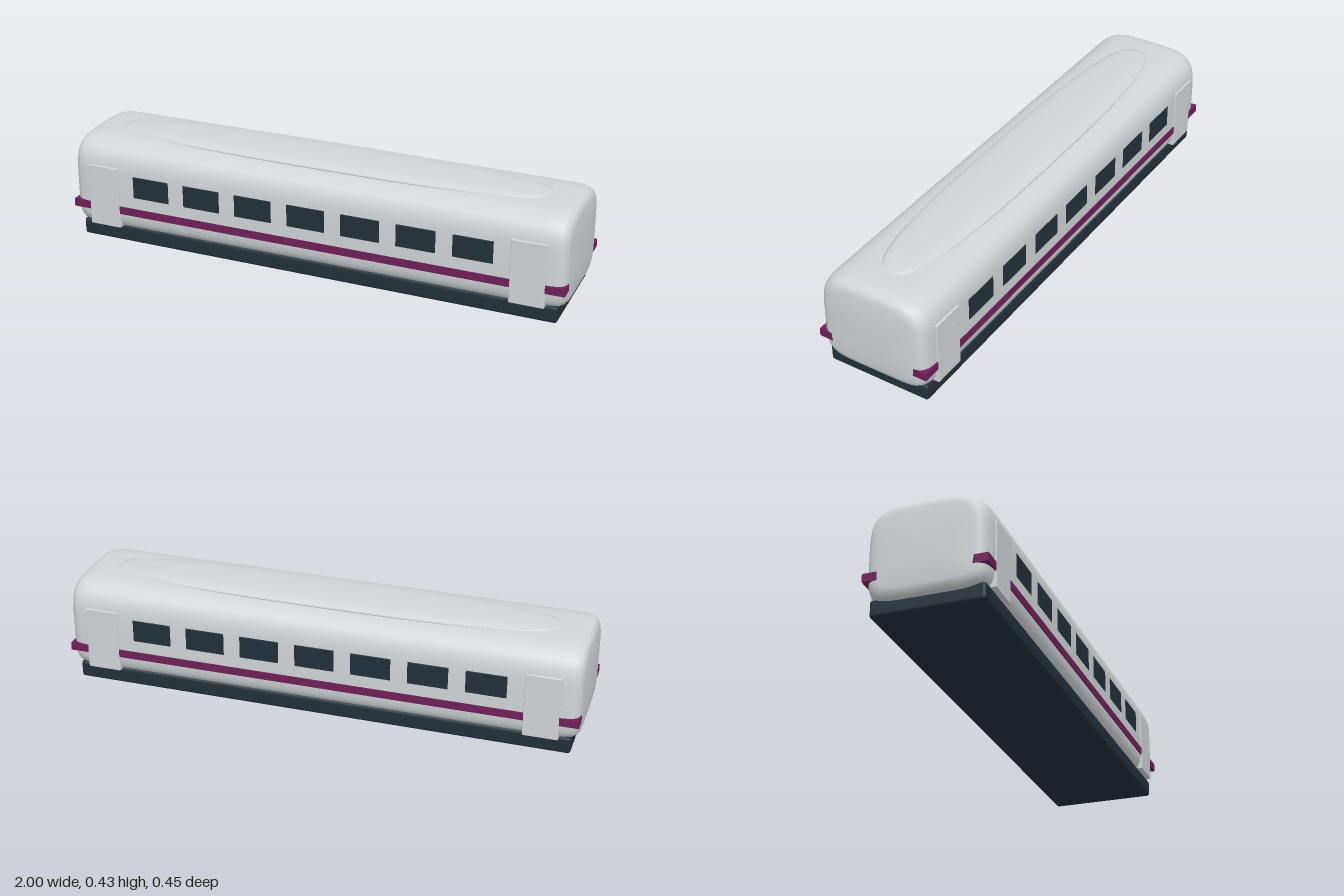
import * as THREE from 'three';
import { RoundedBoxGeometry } from 'three/addons/geometries/RoundedBoxGeometry.js';

const mat = (name, color) => {
  const m = new THREE.MeshStandardMaterial({ color });
  m.name = name;
  return m;
};

// superellipse coordinate
const se = (v, n) => Math.sign(v) * Math.pow(Math.abs(v), 2 / n);

// skin a stack of closed rings; point(ring, angle) returns [x, y, z]
function loft(rings, segments, point) {
  const pos = [], index = [];
  rings.forEach((ring, i) => {
    for (let j = 0; j < segments; j++) {
      pos.push(...point(ring, (j / segments) * Math.PI * 2));
      if (i === rings.length - 1) continue;
      const k = (j + 1) % segments;
      const a = i * segments + j, c = i * segments + k;
      index.push(a, a + segments, c, a + segments, c + segments, c);
    }
  });
  const g = new THREE.BufferGeometry();
  g.setAttribute('position', new THREE.Float32BufferAttribute(pos, 3));
  g.setIndex(index);
  g.computeVertexNormals();
  return g;
}

export function createModel() {
  const model = new THREE.Group();
  model.name = 'railCarriage';
  const shell = mat('light grey paint', 0xd2d6d8);
  const dark = mat('dark blue grey', 0x22303a);
  const purple = mat('purple trim', 0x6e205a);

  const add = (name, geometry, material, x = 0, y = 0, z = 0) => {
    const mesh = new THREE.Mesh(geometry, material);
    mesh.name = name;
    mesh.position.set(x, y, z);
    model.add(mesh);
    return mesh;
  };

  // body: soft rectangular section, rounded in towards both ends [x, scale]
  const half = [[0.75, 1], [0.9, 0.998], [0.94, 0.99], [0.965, 0.968], [0.98, 0.93],
    [0.99, 0.87], [0.995, 0.78], [0.999, 0.5], [1, 0.2], [1, 0]];
  const stations = [...half.map(([x, s]) => [-x, s]).reverse(), ...half];
  add('body', loft(stations, 72, ([x, s], t) => {
    const n = Math.sin(t) > 0 ? 4 : 6;
    return [x, 0.226 + se(Math.sin(t), n) * 0.185 * s, se(Math.cos(t), n) * 0.2215 * s];
  }), shell);

  // shallow roof fairing [scale, height]
  const domeRings = [[0.93, 0.398], [0.99, 0.405], [1, 0.41], [0.97, 0.414], [0.88, 0.42],
    [0.72, 0.425], [0.45, 0.429], [0.2, 0.43], [0, 0.43]];
  add('roofFairing', loft(domeRings, 56, ([s, y], t) => [
    se(Math.cos(t), 2.8) * 0.875 * s, y, se(Math.sin(t), 2.8) * 0.128 * s,
  ]), shell);

  // underframe
  add('underframe', new RoundedBoxGeometry(1.936, 0.066, 0.414, 3, 0.012), dark, 0, 0.033, 0);

  // both sides: stripe, doors and windows
  for (const side of [1, -1]) {
    add('stripe', new THREE.BoxGeometry(1.99, 0.031, 0.06), purple, 0, 0.1375, side * 0.1947);
    for (const end of [1, -1]) {
      add('door', new RoundedBoxGeometry(0.132, 0.25, 0.03, 2, 0.003), shell,
        end * 0.857, 0.186, side * 0.2105);
    }
    for (let i = -3; i <= 3; i++) {
      add('window', new RoundedBoxGeometry(0.153, 0.088, 0.009, 2, 0.002), dark,
        i * 0.217, 0.244, side * 0.2185);
    }
  }
  return model;
}
